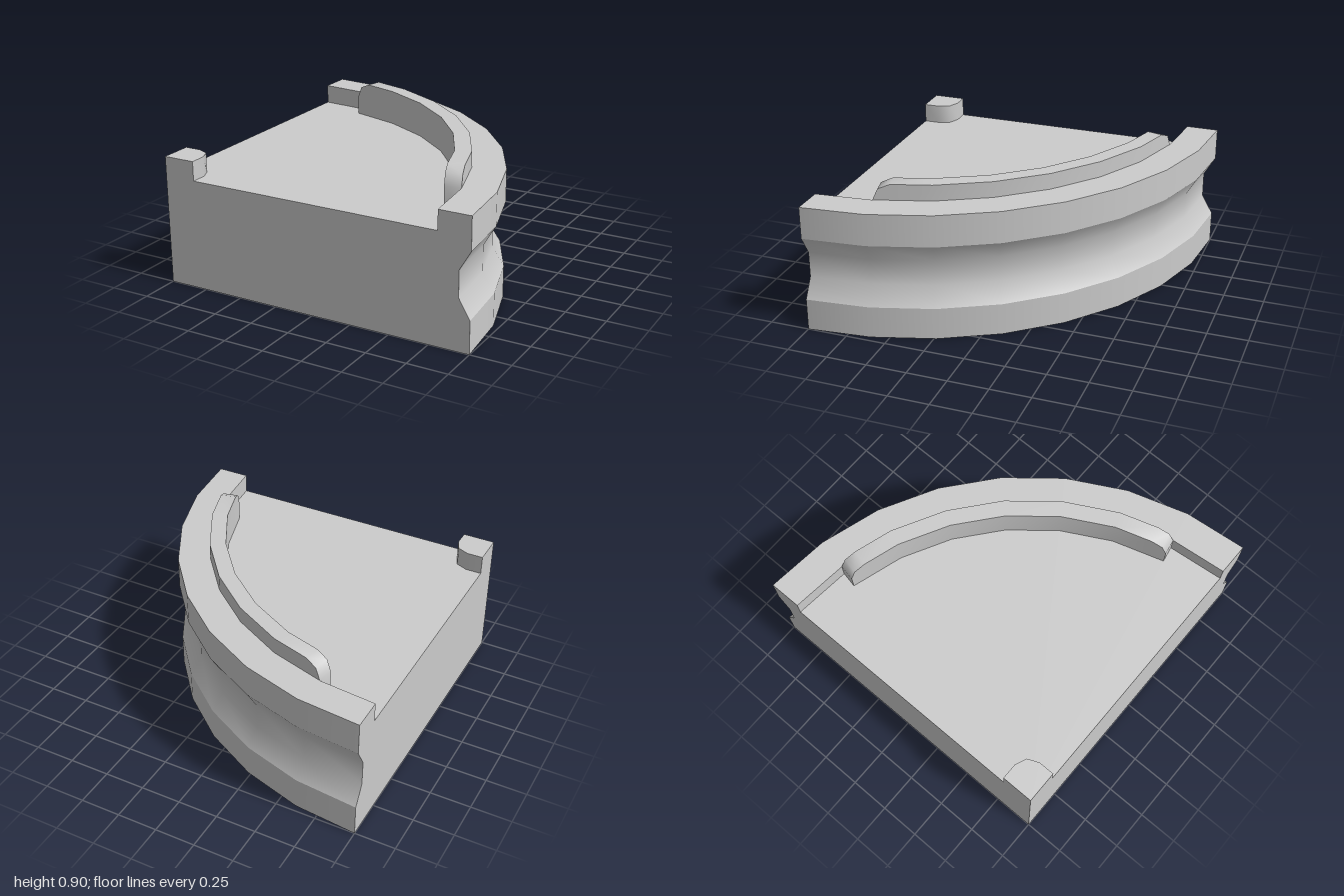
import * as THREE from 'three';
import { toCreasedNormals } from 'three/addons/utils/BufferGeometryUtils.js';

const SEGMENTS = 8; // facets over the quarter turn
const STEP = Math.PI / 2 / SEGMENTS;

const toVectors = (pairs) => pairs.map(([x, y]) => new THREE.Vector2(x, y));

// Quarter-turn surface from a list of [radius, height]
function quarterLathe(profile) {
  return new THREE.LatheGeometry(toVectors(profile), SEGMENTS, Math.PI / 2, Math.PI / 2);
}

// Point on the faceted arc; u counts facets and may be fractional
function arcPoint(r, u, y) {
  const i = Math.floor(u);
  const at = (k) => new THREE.Vector3(r * Math.sin(k * STEP), y, -r * Math.cos(k * STEP));
  return at(i).lerp(at(i + 1), u - i);
}

// Curved lip swept along the rim, with rounded upper ends
function lipGeometry() {
  const inner = 1.7, outer = 1.8, base = 0.68;
  const stations = [[1, 0.8], [1.09, 0.87], [1.3, 0.9]];
  for (let u = 2; u <= 6; u++) stations.push([u, 0.9]);
  stations.push([6.7, 0.9], [6.91, 0.87], [7, 0.8]);

  const positions = [];
  for (const [u, top] of stations) {
    for (const [r, y] of [[inner, base], [inner, top], [outer, top], [outer, base]]) {
      positions.push(...arcPoint(r, u, y).toArray());
    }
  }
  const index = [];
  const quad = (a, b, c, d) => index.push(a, b, c, a, c, d);
  const last = (stations.length - 1) * 4;
  for (let s = 0; s < last; s += 4) {
    for (let j = 0; j < 4; j++) {
      const k = (j + 1) % 4;
      quad(s + j, s + 4 + j, s + 4 + k, s + k);
    }
  }
  quad(0, 1, 2, 3);
  quad(last + 3, last + 2, last + 1, last);

  const geometry = new THREE.BufferGeometry();
  geometry.setAttribute('position', new THREE.Float32BufferAttribute(positions, 3));
  geometry.setIndex(index);
  return toCreasedNormals(geometry, 0.9);
}

export function createModel() {
  const model = new THREE.Group();
  model.name = 'quarterRoundBlock';
  const body = new THREE.Group();
  body.name = 'body';
  body.position.set(-1, 0, 1); // the arc's centre is the front right corner
  model.add(body);

  const material = new THREE.MeshStandardMaterial({ color: 0xcccccc });
  const add = (name, geometry) => {
    const mesh = new THREE.Mesh(geometry, material);
    mesh.name = name;
    body.add(mesh);
    return mesh;
  };

  // Outer shell, split wherever the edge is sharp
  const groove = [[2, 0.2], [1.93, 0.32], [1.93, 0.48], [2, 0.6]];
  add('underside', quarterLathe([[0, 0], [2, 0]]));
  add('lowerBand', quarterLathe([[2, 0], [2, 0.2]]));
  add('groove', quarterLathe(groove));
  add('upperBand', quarterLathe([[2, 0.6], [2, 0.8]]));
  add('rimTop', quarterLathe([[2, 0.8], [1.8, 0.8]]));
  add('rimInnerWall', quarterLathe([[1.8, 0.8], [1.8, 0.68]]));
  add('floor', quarterLathe([[1.8, 0.68], [0, 0.68]]));

  // Flat cut faces on the two straight sides
  const section = [[0, 0], [2, 0], ...groove, [2, 0.8], [1.8, 0.8], [1.8, 0.68], [0, 0.68]];
  const cutFace = (side) =>
    new THREE.ShapeGeometry(new THREE.Shape(toVectors(section.map(([r, y]) => [side * r, y]))));
  add('frontCutFace', cutFace(1));
  add('rightCutFace', cutFace(-1)).rotation.y = -Math.PI / 2;

  // Corner stud with one rounded corner
  const stud = new THREE.Shape(
    toVectors([[0, 0], [0.2, 0], [0.2, 0.1], [0.17, 0.17], [0.1, 0.2], [0, 0.2]]));
  const studGeometry = new THREE.ExtrudeGeometry(stud, { depth: 0.12, bevelEnabled: false });
  studGeometry.rotateX(-Math.PI / 2).translate(0, 0.68, 0);
  add('cornerStud', toCreasedNormals(studGeometry, 0.9));

  add('lip', lipGeometry());
  return model;
}
